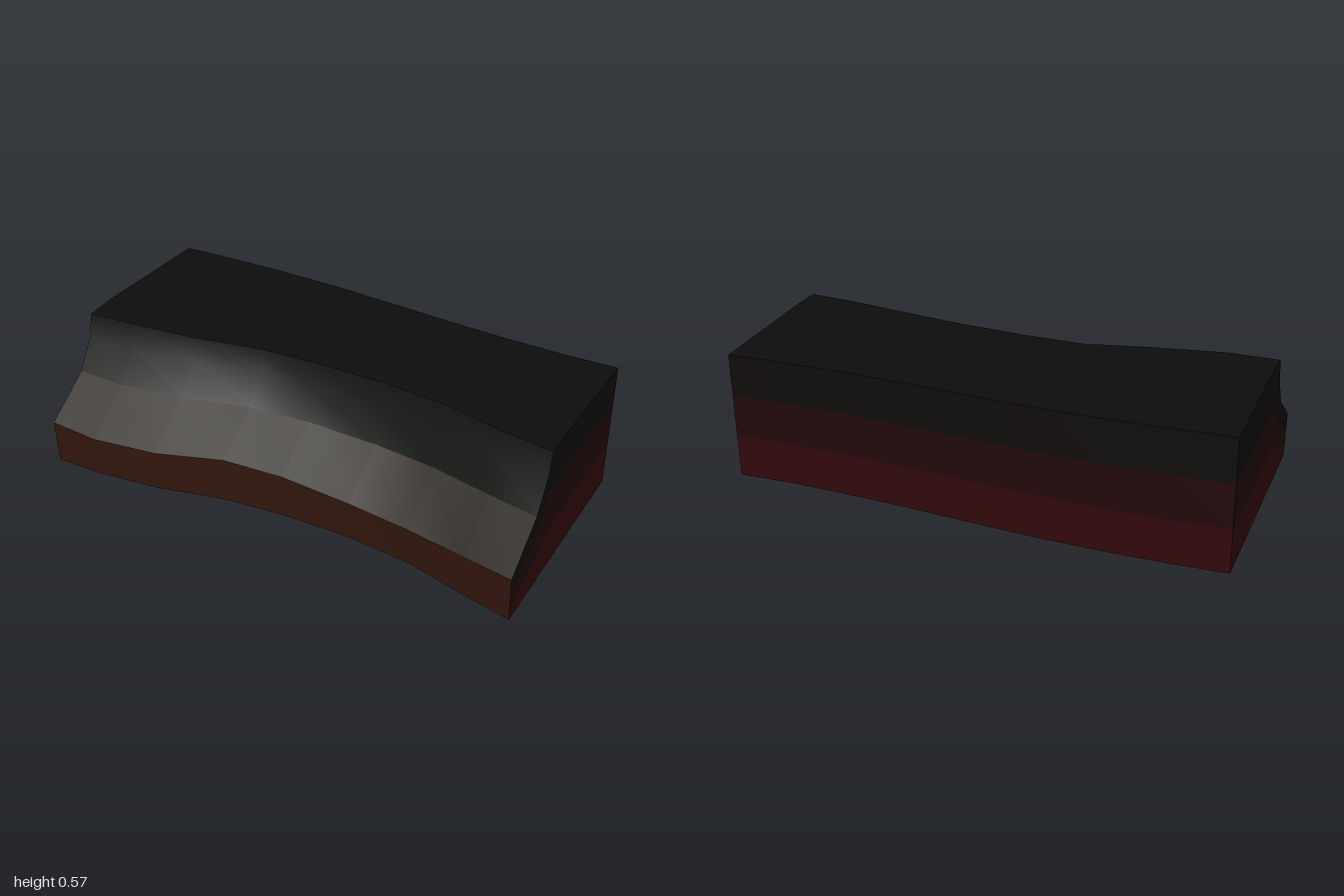
import * as THREE from 'three';

// Stations along x, with the measures that wander from one to the next
const X = [-1, -0.8, -0.53, -0.25, 0, 0.29, 0.55, 0.8, 1];
const frontZ = [0.505, 0.503, 0.47, 0.402, 0.378, 0.375, 0.402, 0.465, 0.51];
const lipY = [0.187, 0.17, 0.174, 0.195, 0.188, 0.165, 0.16, 0.177, 0.188];
const crestZ = [0.205, 0.195, 0.16, 0.1, 0.093, 0.102, 0.13, 0.18, 0.205];
const topY = [0.552, 0.562, 0.546, 0.54, 0.55, 0.565, 0.572, 0.556, 0.543];
const backZ = [-0.495, -0.506, -0.512, -0.507, -0.492, -0.473, -0.462, -0.46, -0.468];

// Named rows running the length of the ledge
const row = (z, y) => X.map((x, i) => new THREE.Vector3(x, y(i), z(i)));
const mix = (a, b, t) => a.map((p, i) => p.clone().lerp(b[i], t));
const frontFoot = row(i => frontZ[i] - 0.01, () => 0);
const lip = row(i => frontZ[i], i => lipY[i]);
const slopeLow = row(i => frontZ[i] - 0.2, i => 0.325 + (lipY[i] - 0.185) * 0.4);
const slopeHigh = row(i => crestZ[i] + 0.024, () => 0.445);
const crest = row(i => crestZ[i], i => 0.543 + (topY[i] - 0.55) * 0.4);
const shoulder = row(i => crestZ[i] - 0.12, i => topY[i]);
const backTop = row(i => backZ[i], i => 0.533 - X[i] * 0.008);
const backFoot = row(i => backZ[i] + 0.012, () => 0);

// Smooth surface through a list of equal-length rows
function sheet(group, name, color, rows) {
  const n = rows[0].length;
  const index = [];
  for (let i = 0; i < rows.length - 1; i++) {
    for (let j = 0; j < n - 1; j++) {
      const a = i * n + j, b = a + 1, c = a + n, d = c + 1;
      index.push(a, b, c, b, d, c);
    }
  }
  const geometry = new THREE.BufferGeometry().setFromPoints(rows.flat());
  geometry.setIndex(index);
  geometry.computeVertexNormals();
  const mesh = new THREE.Mesh(geometry, new THREE.MeshStandardMaterial({ color }));
  mesh.name = name;
  group.add(mesh);
}

export function createModel() {
  const group = new THREE.Group();
  group.name = 'rockLedge';

  // Front lip, scooped slope, flat top and underside
  sheet(group, 'frontLip', 0x32170d, [frontFoot, lip]);
  sheet(group, 'lowerSlope', 0x20190d, [lip, slopeLow]);
  sheet(group, 'upperSlope', 0x10130f, [slopeLow, slopeHigh, crest]);
  sheet(group, 'top', 0x0d0d0d, [crest, shoulder, backTop]);
  sheet(group, 'underside', 0x200806, [backFoot, frontFoot]);

  // Back wall and end walls in bands that darken upwards
  const bands = [['lower', 0x32090b], ['middle', 0x22090a], ['upper', 0x100c0c]];
  const profile = [lip, slopeLow, slopeHigh, crest, shoulder, backTop];
  bands.forEach(([name, color], k) => {
    const t0 = k / 3, t1 = (k + 1) / 3;
    sheet(group, name + 'BackWall', color, [mix(backFoot, backTop, t1), mix(backFoot, backTop, t0)]);
    for (const [side, s] of [['Right', 0], ['Left', X.length - 1]]) {
      const tops = profile.map(r => r[s]);
      const feet = tops.map(p => new THREE.Vector3(p.x, 0,
        THREE.MathUtils.clamp(p.z, backFoot[s].z, frontFoot[s].z)));
      if (s === 0) { tops.reverse(); feet.reverse(); }
      sheet(group, name + side + 'End', color, [mix(feet, tops, t0), mix(feet, tops, t1)]);
    }
  });
  return group;
}
